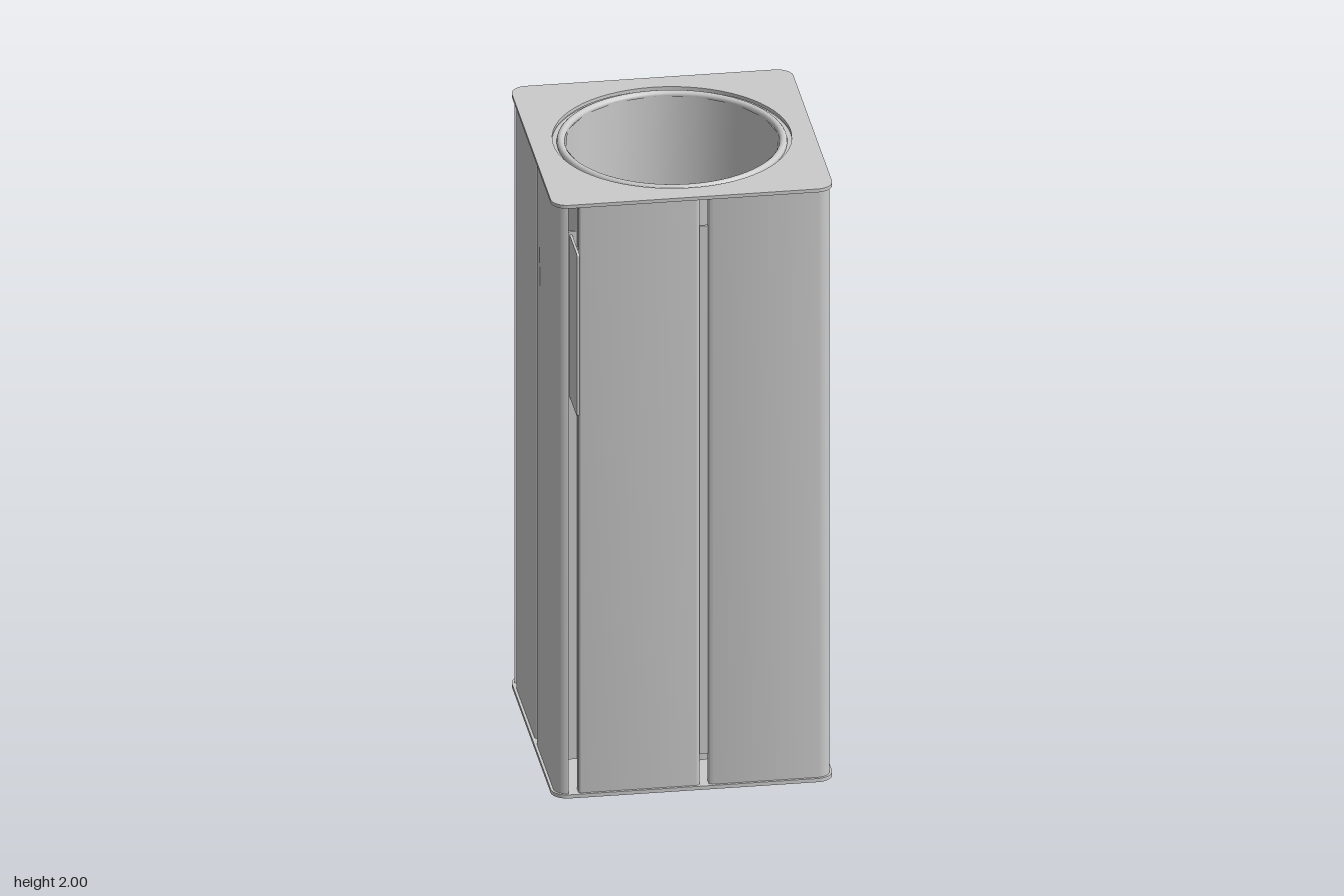
import * as THREE from 'three';
import { toCreasedNormals } from 'three/addons/utils/BufferGeometryUtils.js';

const H = 0.415;        // half width of the panelled body
const CENTRE_Z = -0.047;
const grey = new THREE.MeshStandardMaterial({ color: 0xcccccc, side: THREE.DoubleSide });

function add(parent, name, geometry, x = 0, y = 0, z = 0) {
  const mesh = new THREE.Mesh(geometry, grey);
  mesh.name = name;
  mesh.position.set(x, y, z);
  parent.add(mesh);
  return mesh;
}

// Extrudes a plan outline (x, z) from y0 up to y1
function upright(shape, y0, y1, curveSegments = 8) {
  const g = new THREE.ExtrudeGeometry(shape, { depth: y1 - y0, bevelEnabled: false, curveSegments });
  g.rotateX(Math.PI / 2).translate(0, y1, 0);
  return toCreasedNormals(g, 0.6);
}

function roundedSquare(h, r) {
  const s = new THREE.Shape();
  s.absarc(h - r, h - r, r, 0, Math.PI / 2);
  s.absarc(r - h, h - r, r, Math.PI / 2, Math.PI);
  s.absarc(r - h, r - h, r, Math.PI, Math.PI * 1.5);
  s.absarc(h - r, r - h, r, Math.PI * 1.5, Math.PI * 2);
  s.closePath();
  return s;
}

// Flat cladding panel with softly rolled outer edges
function flatPanelShape() {
  const a = -0.345, b = 0.02, r = 0.012, t = 0.03;
  const s = new THREE.Shape();
  s.moveTo(a, H - t);
  s.lineTo(b, H - t);
  s.lineTo(b, H - r);
  s.quadraticCurveTo(b, H, b - r, H);
  s.lineTo(a + r, H);
  s.quadraticCurveTo(a, H, a, H - r);
  s.closePath();
  return s;
}

// Cladding panel that wraps round the corner
function cornerPanelShape() {
  const a = 0.047, e = 0.375, r = 0.04, t = 0.03;
  const s = new THREE.Shape();
  s.moveTo(a, H - t);
  s.lineTo(H - t, H - t);
  s.lineTo(H - t, e);
  s.lineTo(H, e);
  s.absarc(H - r, H - r, r, 0, Math.PI / 2);
  s.lineTo(a + 0.012, H);
  s.quadraticCurveTo(a, H, a, H - 0.012);
  s.closePath();
  return s;
}

export function createModel() {
  const model = new THREE.Group();
  model.name = 'litterBin';
  const body = new THREE.Group();
  body.name = 'body';
  body.position.z = CENTRE_Z;
  model.add(body);

  // Cladding, repeated on four sides
  const flat = upright(flatPanelShape(), 0.066, 1.99);
  const corner = upright(cornerPanelShape(), 0.066, 1.99);
  const backing = new THREE.BoxGeometry(0.04, 1.73, 0.008);
  for (let i = 0; i < 4; i++) {
    const side = new THREE.Group();
    side.name = 'side' + (i + 1);
    side.rotation.y = i * Math.PI / 2;
    body.add(side);
    add(side, 'flatPanel', flat);
    add(side, 'cornerPanel', corner);
    add(side, 'grooveBacking', backing, 0.034, 1.025, H - 0.024);
    add(side, 'slotBacking', backing, -0.36, 1.025, H - 0.045);
  }

  // Top plate with round opening, and base plate
  const top = roundedSquare(0.423, 0.05);
  const hole = new THREE.Path();
  hole.absarc(0, 0, 0.356, 0, Math.PI * 2, true);
  top.holes.push(hole);
  add(body, 'topPlate', upright(top, 1.989, 2, 32));
  add(body, 'basePlate', upright(roundedSquare(0.423, 0.05), 0.055, 0.067));

  // Ledge and rolled rim round the opening
  const ledge = new THREE.RingGeometry(0.325, 0.358, 64).rotateX(-Math.PI / 2);
  add(body, 'rimLedge', ledge, 0, 1.985, 0);
  const rim = new THREE.TorusGeometry(0.331, 0.012, 12, 64).rotateX(Math.PI / 2);
  add(body, 'rim', rim, 0, 1.988, 0);

  // Sixteen-sided inner container
  const profile = [[0, 0.1], [0.32, 0.1], [0.32, 1.988]].map(p => new THREE.Vector2(...p));
  add(body, 'liner', toCreasedNormals(new THREE.LatheGeometry(profile, 16), 0.6));

  // Feet
  const foot = new THREE.CylinderGeometry(0.025, 0.025, 0.06, 20);
  for (const x of [-0.257, 0.257])
    for (const z of [-0.257, 0.257]) add(body, 'foot', foot, x, 0.03, z);

  // Thin sign blade standing out of the front slot
  const r = 0.008, x0 = 0.345, x1 = 0.517, y0 = 1.35, y1 = 1.88;
  const blade = new THREE.Shape();
  blade.moveTo(x0, y0);
  blade.lineTo(x1 - r, y0);
  blade.quadraticCurveTo(x1, y0, x1, y0 + r);
  blade.lineTo(x1, y1 - r);
  blade.quadraticCurveTo(x1, y1, x1 - r, y1);
  blade.lineTo(x0, y1);
  blade.closePath();
  const bladeGeo = new THREE.ExtrudeGeometry(blade, { depth: 0.008, bevelEnabled: false, curveSegments: 4 });
  bladeGeo.rotateY(-Math.PI / 2);
  add(body, 'signBlade', bladeGeo, -0.358, 0, 0);

  return model;
}
